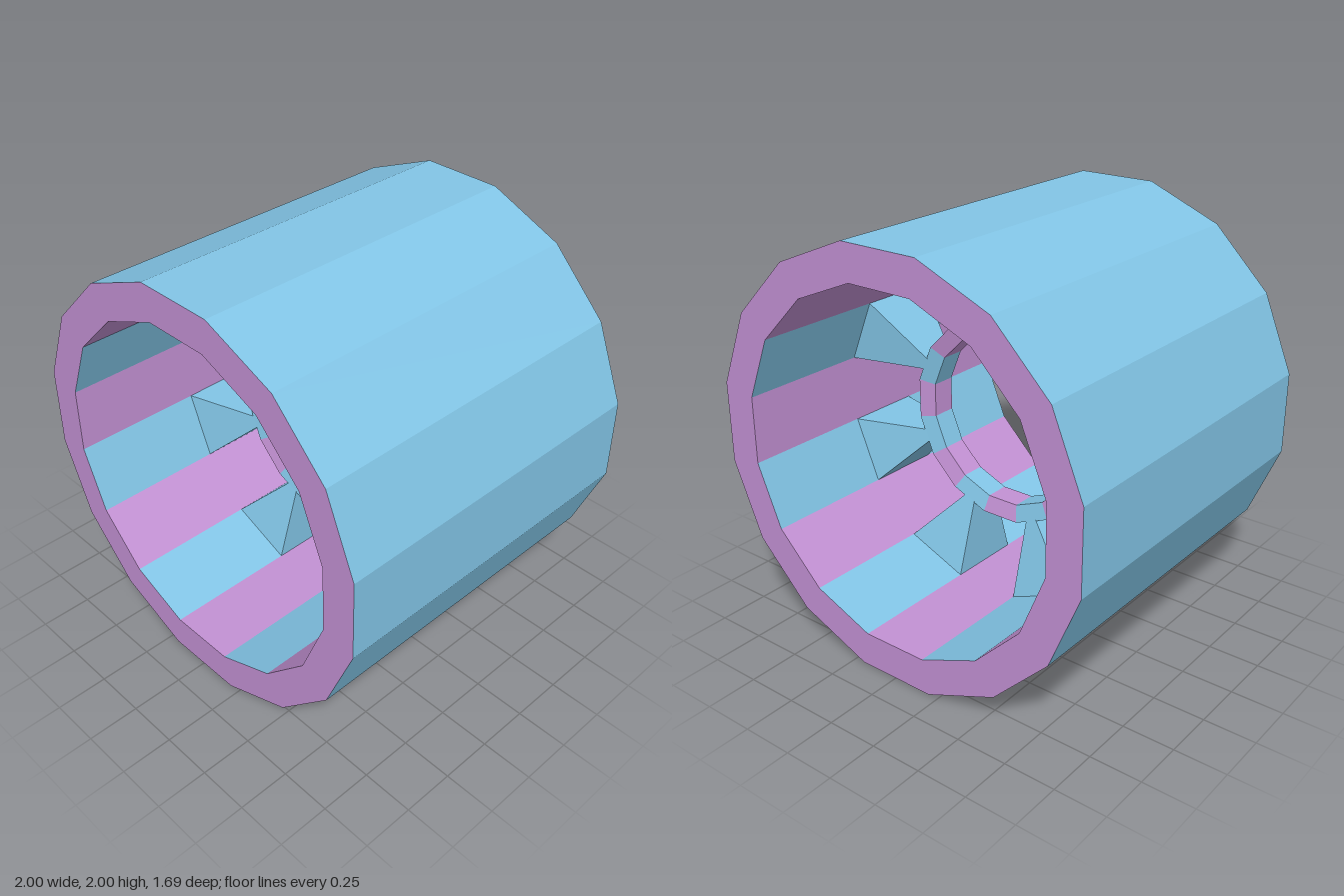
import * as THREE from 'three';

const SIDES = 16;
const STEP = (Math.PI * 2) / SIDES;
const SLOPE = Math.tan(STEP / 2); // half side length per unit of apothem
const DEPTH = 0.845;

const blue = new THREE.MeshStandardMaterial({ color: 0x82c5e6 });
blue.name = 'sky blue';
const purple = new THREE.MeshStandardMaterial({ color: 0xc391d4 });
purple.name = 'soft purple';

// Box face order: +x, -x, outer, inner, front, back
const RING_FACES = [2, 3, 4, 5];
const SPOKE_FACES = [0, 1, 4, 5];

// Tapered block pointing up: each end has a radius r, half width w and half depth d.
// Only the listed faces are kept, each with its own material group.
function taperedBlock(outer, inner, faces) {
  const geo = new THREE.BoxGeometry(2, 2, 2);
  const pos = geo.attributes.position;
  for (let i = 0; i < pos.count; i++) {
    const end = pos.getY(i) > 0 ? outer : inner;
    pos.setXYZ(i, pos.getX(i) * end.w, end.r, pos.getZ(i) * end.d);
  }
  const all = Array.from(geo.index.array);
  geo.setIndex(faces.flatMap((f) => all.slice(f * 6, f * 6 + 6)));
  geo.clearGroups();
  faces.forEach((f, i) => geo.addGroup(i * 6, 6, f));
  geo.computeVertexNormals();
  return geo;
}

const side = (r, d) => ({ r, d, w: r * SLOPE });

export function createModel() {
  const model = new THREE.Group();
  model.name = 'spokedTube';

  const part = (name) => {
    const group = new THREE.Group();
    group.name = name;
    group.position.y = 1;
    model.add(group);
    return group;
  };
  const shell = part('outerShell');
  const hub = part('hubRing');
  const spokes = part('spokes');

  const shellGeo = taperedBlock(side(1, DEPTH), side(0.83, DEPTH), RING_FACES);
  const hubGeo = taperedBlock(side(0.495, 0.083), side(0.415, 0.06), RING_FACES);
  const spokeGeo = taperedBlock(side(0.83, 0.19), { r: 0.49, w: 0.03, d: 0.083 }, SPOKE_FACES);

  const add = (group, name, geo, material, k) => {
    const mesh = new THREE.Mesh(geo, material);
    mesh.name = name;
    mesh.rotation.z = k * STEP;
    group.add(mesh);
  };

  for (let k = 0; k < SIDES; k++) {
    // Gaps are purple, sides that carry a spoke are blue
    const tint = k % 2 ? blue : purple;
    add(shell, 'shellSide', shellGeo, [blue, blue, blue, tint, purple, purple], k);
    add(hub, 'hubSide', hubGeo, Array(6).fill(tint), k);
    if (k % 2) add(spokes, 'spoke', spokeGeo, Array(6).fill(blue), k);
  }
  return model;
}
